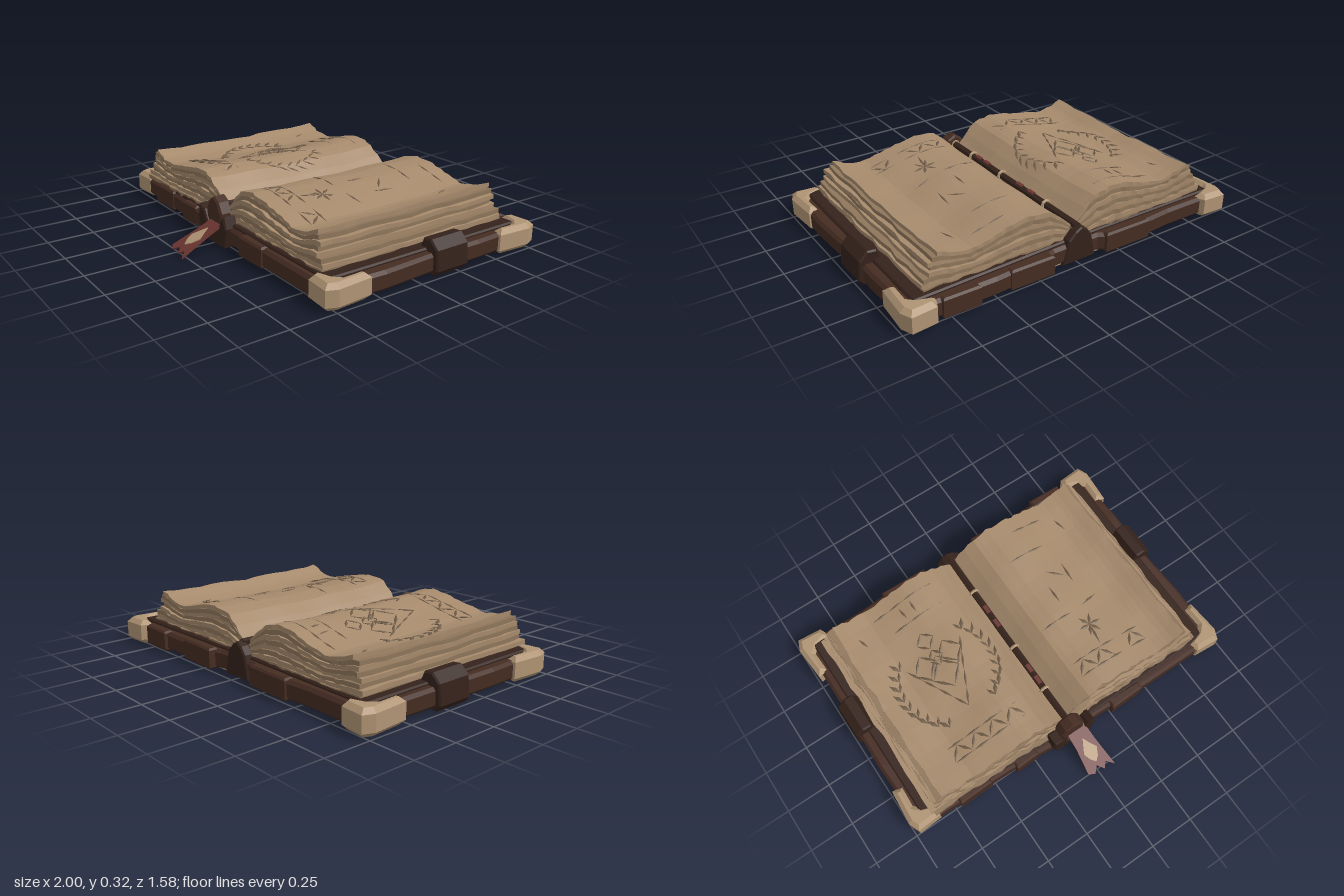
import * as THREE from 'three';

const mat = (name, color, side = THREE.FrontSide) =>
  Object.assign(new THREE.MeshStandardMaterial({ color, flatShading: true, side }), { name });

// Small seeded random generator for worn edges
function seeded(seed) {
  return () => {
    seed = (seed * 16807) % 2147483647;
    return seed / 2147483647 - 0.5;
  };
}

// Height of the open page surface: swell near the gutter, curl at the outer edge
const PROFILE = [[0, 0.17], [0.03, 0.195], [0.08, 0.245], [0.15, 0.3], [0.25, 0.32], [0.35, 0.31],
  [0.45, 0.285], [0.6, 0.25], [0.7, 0.265], [0.78, 0.3], [1, 0.3]];
function pageY(x, z) {
  const u = Math.min(Math.abs(x + 0.01), 0.99);
  const i = PROFILE.findIndex(p => p[0] > u);
  const [a, b] = [PROFILE[i - 1], PROFILE[i]];
  const y = a[1] + (b[1] - a[1]) * (u - a[0]) / (b[0] - a[0]);
  return y + 0.006 * Math.sin(13 * x + 7 * z) * Math.cos(9 * z - 5 * x) + 0.012 * (z + 0.1) * (z + 0.1) / 0.3;
}

export function createModel() {
  const book = new THREE.Group();
  book.name = 'openBook';
  const paper = mat('paper', 0xa68a6c);
  const agedPaper = mat('agedPaper', 0x8f765b);
  const ink = mat('ink', 0x6f5b47);
  const leather = mat('leather', 0x452c22);
  const darkLeather = mat('darkLeather', 0x35221b);
  const guard = mat('cornerGuard', 0xb09474);
  const ribbonRed = mat('ribbonRed', 0x6a3530, THREE.DoubleSide);

  const add = (name, geometry, material, parent = book) => {
    const mesh = new THREE.Mesh(geometry, material);
    mesh.name = name;
    parent.add(mesh);
    return mesh;
  };
  const extrude = (pts, depth, bevel) => new THREE.ExtrudeGeometry(
    new THREE.Shape(pts.map(p => new THREE.Vector2(p[0], p[1]))),
    { depth: depth - 2 * bevel, bevelEnabled: bevel > 0, bevelSize: bevel, bevelThickness: bevel,
      bevelOffset: -bevel, bevelSegments: 1 });
  // Horizontal slab from an (x, z) outline
  const slab = (name, pts, y0, y1, bevel, material, parent) => {
    const g = extrude(pts, y1 - y0, bevel).rotateX(Math.PI / 2);
    return add(name, g.translate(0, y1 - bevel, 0), material, parent);
  };
  // Upright profile in (x, y), extruded from z0 to z1
  const prism = (name, pts, z0, z1, bevel, material) =>
    add(name, extrude(pts, z1 - z0, bevel).translate(0, 0, z0 + bevel), material);

  // Worn leather cover, raised inner hem and flat underside
  slab('cover', [[-0.96, -0.74], [-0.6, -0.735], [-0.45, -0.745], [-0.16, -0.735], [-0.13, -0.715], [0.14, -0.715],
    [0.2, -0.735], [0.5, -0.755], [0.96, -0.75], [0.975, -0.4], [0.965, -0.1], [0.98, 0.2], [0.965, 0.53],
    [0.5, 0.53], [0.15, 0.515], [-0.1, 0.53], [-0.4, 0.505], [-0.96, 0.49], [-0.975, 0.1], [-0.965, -0.3]],
    0.025, 0.125, 0.016, leather);
  slab('coverHem', [[-0.92, -0.7], [0, -0.69], [0.92, -0.71], [0.915, 0.49], [0, 0.5], [-0.92, 0.475]],
    0.11, 0.14, 0.008, darkLeather);
  slab('underside', [[-0.925, -0.7], [0.925, -0.7], [0.925, 0.49], [-0.925, 0.46]], 0.019, 0.027, 0, paper);

  // Leather wraps folded over the long edges
  for (const [x, w, z] of [[-0.62, 0.2, 0.487], [-0.3, 0.14, 0.5], [0.35, 0.2, 0.517],
    [-0.3, 0.28, -0.728], [0.3, 0.25, -0.733], [0.7, 0.2, -0.743]]) {
    slab('edgeWrap', [[x - w / 2, z - 0.03], [x + w / 2, z - 0.025], [x + w / 2, z + 0.02], [x - w / 2, z + 0.025]],
      0.02, 0.132, 0.01, leather);
  }

  // Side clasps and corner guards, mirrored
  for (const s of [-1, 1]) {
    const side = s > 0 ? 'left' : 'right';
    prism(side + 'Clasp', [[0.87, 0.02], [0.87, 0.14], [0.89, 0.185], [0.94, 0.19], [0.985, 0.145], [0.995, 0.04],
      [0.97, 0.01]].map(p => [s * p[0], p[1]]), -0.31, -0.1, 0.008, darkLeather);
    for (const [end, dir, edge] of [['Front', 1, s > 0 ? 0.55 : 0.505], ['Back', -1, s > 0 ? -0.795 : -0.775]]) {
      slab(side + end + 'Corner', [[0.975, 0], [0.84, 0.01], [0.815, 0.07], [0.9, 0.1], [0.93, 0.13], [0.925, 0.245],
        [0.985, 0.255], [1, 0.06]].map(([x, d]) => [s * x, edge - dir * d]), 0.012, 0.145, 0.024, guard);
    }
  }

  // Stacked page layers, each a slab bent to the page profile
  const rand = seeded(41);
  const LAYERS = 8, BASE = 0.125;
  for (const s of [-1, 1]) {
    const stack = new THREE.Group();
    stack.name = s > 0 ? 'leftPages' : 'rightPages';
    book.add(stack);
    for (let k = 0; k < LAYERS; k++) {
      const t0 = k / LAYERS, t1 = (k + 1) / LAYERS;
      const top = k === LAYERS - 1;
      const outer = 0.875 - 0.085 * t1 + rand() * 0.025;
      const zBack = -0.685 + 0.03 * t1 + rand() * 0.02;
      const zFront = 0.48 - 0.03 * t1 + rand() * 0.02;
      const fray = Array.from({ length: 26 }, () => rand() * 0.014);
      const g = new THREE.BoxGeometry(1, 1, 1, 24, 1, 14);
      const p = g.attributes.position;
      for (let i = 0; i < p.count; i++) {
        const u = p.getX(i) + 0.5, v = p.getZ(i) + 0.5;
        const iu = Math.round(u * 24), iv = Math.round(v * 14);
        let x = 0.018 + u * (outer - 0.018);
        let z = zBack + v * (zFront - zBack);
        if (iu === 24) x += fray[iv];
        if (iv === 0 || iv === 14) z += fray[iu];
        x = s * x - 0.01;
        const t = p.getY(i) > 0 ? t1 : t0;
        p.setXYZ(i, x, BASE + (pageY(x, z) - BASE) * t, z);
      }
      // The box was mirrored on one side, so restore the corner order
      if (s < 0) {
        const idx = g.index.array;
        for (let i = 0; i < idx.length; i += 3) [idx[i], idx[i + 1]] = [idx[i + 1], idx[i]];
      }
      g.computeVertexNormals();
      add(top ? 'openPage' : 'pageLayer', g, top || k % 2 ? paper : agedPaper, stack);
    }
  }

  // Tapered ink strokes that follow the page surface
  const drawings = new THREE.Group();
  drawings.name = 'pageDrawings';
  book.add(drawings);
  const nib = new THREE.OctahedronGeometry(1);
  const at = (x, z) => new THREE.Vector3(x, pageY(x, z) + 0.002, z);
  const stroke = (ax, az, bx, bz, w = 0.007) => {
    const n = Math.max(1, Math.round(Math.hypot(bx - ax, bz - az) / 0.1));
    for (let i = 0; i < n; i++) {
      const lerp = t => at(ax + (bx - ax) * t, az + (bz - az) * t);
      const a = lerp(i / n), b = lerp((i + 1) / n);
      const m = add('inkStroke', nib, ink, drawings);
      m.position.copy(a).lerp(b, 0.5);
      m.scale.set(w, 0.0045, a.distanceTo(b) * 0.55);
      m.lookAt(b);
    }
  };
  const ring = (x, z, rx, rz, n, w) => {
    for (let i = 0; i < n; i++) {
      const a = i / n * Math.PI * 2, b = (i + 1) / n * Math.PI * 2;
      stroke(x + rx * Math.sin(a), z + rz * Math.cos(a), x + rx * Math.sin(b), z + rz * Math.cos(b), w);
    }
  };
  // Wreath of leaves around knotted diamonds
  for (const s of [-1, 1]) {
    for (let i = 0; i < 9; i++) {
      const a = -0.75 + i * 0.22;
      const x = -0.41 + s * 0.27 * Math.cos(a), z = -0.06 + 0.27 * Math.sin(a);
      stroke(x, z, x + s * 0.035, z - 0.06, 0.012);
      stroke(x, z, x - s * 0.025, z - 0.05, 0.009);
    }
    stroke(-0.41 + s * 0.17, -0.22, -0.41, 0.13);
    ring(-0.41 + s * 0.075, -0.17, 0.07, 0.08, 4, 0.008);
  }
  ring(-0.41, -0.1, 0.09, 0.1, 4, 0.009);
  ring(-0.41, -0.19, 0.04, 0.05, 4, 0.008);
  ring(-0.41, -0.3, 0.05, 0.05, 4, 0.008);
  // Ruled lines, bands of ornament and loose marks
  for (const [ax, az, bx, bz] of [[-0.58, -0.565, -0.2, -0.565], [-0.52, -0.44, -0.22, -0.44], [-0.43, -0.54, -0.42, -0.47],
    [-0.36, -0.54, -0.36, -0.47], [0.34, -0.57, 0.53, -0.57], [0.22, -0.42, 0.44, -0.42], [0.36, -0.27, 0.44, -0.2],
    [0.47, -0.27, 0.46, -0.15], [0.32, -0.18, 0.32, -0.08], [0.15, 0.01, 0.33, 0.01], [0.42, 0, 0.52, -0.02],
    [0.6, -0.53, 0.62, -0.45], [-0.7, -0.52, -0.68, -0.46], [0.38, 0.12, 0.36, 0.24]]) stroke(ax, az, bx, bz);
  for (const [x0, x1] of [[-0.63, -0.2], [0.17, 0.43], [0.49, 0.6]]) {
    stroke(x0, 0.26, x1, 0.26);
    stroke(x0, 0.345, x1, 0.345);
    for (let x = x0, i = 0; x < x1 - 0.04; x += 0.055, i++) stroke(x, i % 2 ? 0.27 : 0.335, x + 0.05, i % 2 ? 0.335 : 0.27, 0.009);
  }
  for (let i = 0; i < 6; i++) {
    const a = i * Math.PI / 3;
    stroke(0.38, 0.12, 0.38 + 0.065 * Math.cos(a), 0.12 + 0.065 * Math.sin(a), 0.01);
  }

  // Spine: gutter cord with binding rings, ribbon turns and end caps
  add('gutterCord', new THREE.CylinderGeometry(0.02, 0.02, 1.16, 6).rotateX(Math.PI / 2), darkLeather)
    .position.set(-0.015, 0.198, -0.11);
  for (const z of [-0.43, -0.03, 0.26, 0.46]) {
    add('bindingRing', new THREE.TorusGeometry(0.023, 0.009, 5, 8), guard).position.set(-0.015, 0.2, z);
  }
  for (const z of [-0.3, -0.2, 0.12, 0.2]) {
    add('ribbonTurn', new THREE.BoxGeometry(0.022, 0.008, 0.05), ribbonRed).position.set(-0.015, 0.217, z);
  }
  prism('frontSpineFlange', [[-0.12, 0.01], [-0.15, 0.12], [-0.14, 0.19], [-0.09, 0.17], [-0.05, 0.1], [0.05, 0.1],
    [0.08, 0.16], [0.11, 0.185], [0.13, 0.12], [0.1, 0.01]], 0.47, 0.545, 0.008, darkLeather);
  prism('frontSpineCap', [[-0.08, 0.05], [-0.085, 0.18], [-0.06, 0.23], [-0.015, 0.26], [0.03, 0.235], [0.06, 0.18],
    [0.06, 0.05]], 0.455, 0.53, 0.01, leather);
  prism('backSpineCap', [[-0.11, 0.02], [-0.08, 0.15], [-0.05, 0.19], [-0.015, 0.21], [0.02, 0.19], [0.06, 0.15],
    [0.09, 0.02]], -0.725, -0.67, 0.008, darkLeather);

  // Forked bookmark ribbon with a small emblem, hanging over the front edge
  const bookmark = new THREE.Group();
  bookmark.name = 'bookmark';
  bookmark.position.set(0, 0.135, 0.5);
  bookmark.rotation.x = 0.41;
  book.add(bookmark);
  slab('ribbon', [[-0.045, -0.02], [0.065, -0.02], [0.075, 0.12], [0.098, 0.305], [0.06, 0.262], [0.035, 0.295],
    [0.005, 0.255], [-0.025, 0.29], [-0.06, 0.272], [-0.045, 0.12]], -0.004, 0.004, 0, ribbonRed, bookmark);
  slab('ribbonEmblem', [[0.015, 0.085], [0.035, 0.125], [0.06, 0.165], [0.04, 0.21], [0.015, 0.235], [-0.01, 0.205],
    [-0.025, 0.165], [-0.005, 0.125]], 0.004, 0.009, 0, guard, bookmark);

  return book;
}
